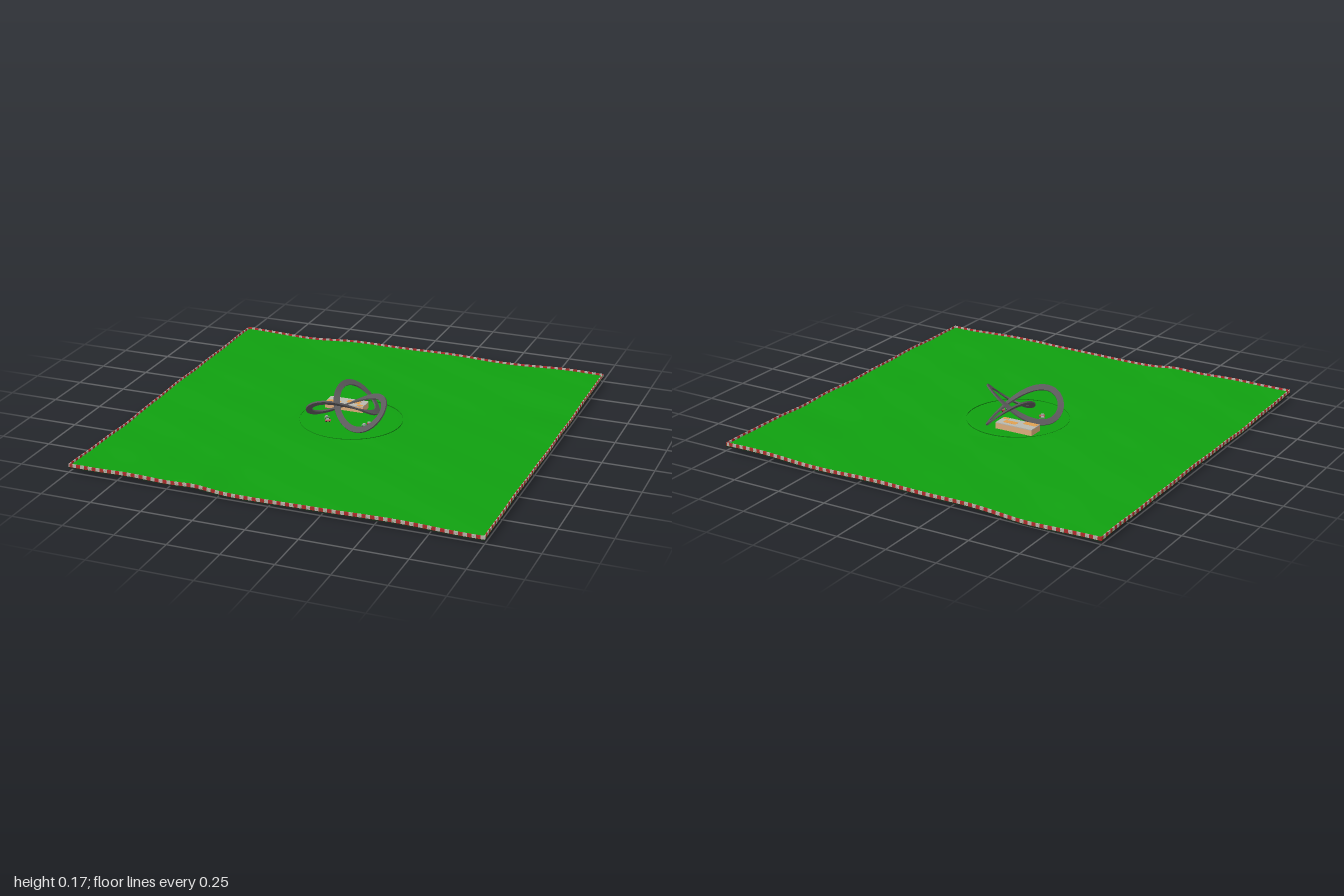
import * as THREE from 'three';
import { mergeGeometries } from 'three/addons/utils/BufferGeometryUtils.js';

const mat = (color, extra = {}) => new THREE.MeshStandardMaterial({ color, ...extra });

function add(parent, name, geometry, material, x = 0, y = 0, z = 0) {
  const mesh = new THREE.Mesh(geometry, material);
  mesh.name = name;
  mesh.position.set(x, y, z);
  parent.add(mesh);
  return mesh;
}

// Gently rolling ground with a level round clearing in the middle
function groundHeight(x, z) {
  const hills = 0.026
    + 0.004 * Math.sin(5.2 * x + 1.3 * z + 3.9)
    + 0.003 * Math.sin(4.1 * z - 2.3 * x + 0.6)
    + 0.002 * Math.sin(11 * x + 7 * z)
    + 0.0015 * Math.sin(17 * z - 9 * x + 1)
    + 0.009 * Math.exp(-((x + 0.36) ** 2) / 0.008 - ((z - 1) ** 2) / 0.05)
    + 0.007 * Math.exp(-((x + 0.7) ** 2) / 0.02 - ((z - 1) ** 2) / 0.3)
    - 0.009 * Math.exp(-((x + 0.6) ** 2) / 0.03 - ((z + 1) ** 2) / 0.2)
    - 0.009 * Math.exp(-((z + 0.45) ** 2) / 0.03 - ((x - 1) ** 2) / 0.2);
  const blend = THREE.MathUtils.smoothstep(Math.hypot(x, z), 0.23, 0.29);
  return THREE.MathUtils.lerp(0.026, hills, blend);
}

function makeGround() {
  const geo = new THREE.PlaneGeometry(2, 2, 120, 120).rotateX(-Math.PI / 2);
  const p = geo.attributes.position;
  for (let i = 0; i < p.count; i++) p.setY(i, groundHeight(p.getX(i), p.getZ(i)));
  geo.computeVertexNormals();
  return geo;
}

// Trefoil loop that rises and falls three times
class KnotCurve extends THREE.Curve {
  getPoint(u, target = new THREE.Vector3()) {
    const t = u * Math.PI * 2, s = 0.069;
    return target.set(
      s * (Math.sin(t) + 2 * Math.sin(2 * t)),
      0.096 + 0.058 * Math.sin(3 * t),
      s * (Math.cos(t) - 2 * Math.cos(2 * t)));
  }
}

// Flat band swept along the curve, its width lying in the plane of each bend
function makeBand(curve, width, thickness, steps = 240) {
  const pos = [], index = [];
  const corners = [[1, 1], [-1, 1], [-1, -1], [1, -1]];
  for (let i = 0; i <= steps; i++) {
    const u = i / steps, e = 0.003;
    const c = curve.getPoint(u);
    const a = curve.getPoint(u - e), b = curve.getPoint(u + e);
    const tangent = b.clone().sub(a).normalize();
    const normal = a.add(b).addScaledVector(c, -2);
    normal.addScaledVector(tangent, -normal.dot(tangent)).normalize();
    const binormal = tangent.clone().cross(normal);
    // each face has its own pair of vertices so the edges stay sharp
    for (let k = 0; k < 4; k++) {
      for (const [w, h] of [corners[k], corners[(k + 1) % 4]]) {
        const v = c.clone().addScaledVector(normal, w * width / 2).addScaledVector(binormal, h * thickness / 2);
        pos.push(v.x, v.y, v.z);
      }
      if (i < steps) {
        const q = i * 8 + k * 2;
        index.push(q, q + 1, q + 8, q + 1, q + 9, q + 8);
      }
    }
  }
  const geo = new THREE.BufferGeometry();
  geo.setAttribute('position', new THREE.Float32BufferAttribute(pos, 3));
  geo.setIndex(index);
  geo.computeVertexNormals();
  return geo;
}

// Red and white kerb blocks following the ground along all four borders
function makeKerb(parent) {
  const blocks = [[], []], n = 100, len = 2 / n;
  for (let side = 0; side < 4; side++) {
    for (let i = 0; i < n; i++) {
      const s = -1 + (i + 0.5) * len, edge = side % 2 ? 0.997 : -0.997;
      const alongX = side < 2;
      const at = (d) => (alongX ? groundHeight(s + d, edge) : groundHeight(edge, s + d));
      const box = new THREE.BoxGeometry(len, 0.016, 0.005);
      box.rotateZ(Math.atan2(at(len / 2) - at(-len / 2), len));
      if (!alongX) box.rotateY(-Math.PI / 2);
      box.translate(alongX ? s : edge, at(0) + 0.002, alongX ? edge : s);
      blocks[i % 2].push(box);
    }
  }
  add(parent, 'redKerbBlocks', mergeGeometries(blocks[0]), mat(0xb02a2a));
  add(parent, 'whiteKerbBlocks', mergeGeometries(blocks[1]), mat(0xb8b0a8));
  // dark footing under the kerb
  const footing = [];
  for (let side = 0; side < 4; side++) {
    for (let i = 0; i < n; i++) {
      const s = -1 + (i + 0.5) * len, edge = side % 2 ? 0.997 : -0.997;
      const [x, z] = side < 2 ? [s, edge] : [edge, s];
      const box = new THREE.BoxGeometry(side < 2 ? len : 0.006, 0.006, side < 2 ? 0.006 : len);
      footing.push(box.translate(x, groundHeight(x, z) - 0.009, z));
    }
  }
  add(parent, 'kerbFooting', mergeGeometries(footing), mat(0x1c2a1c));
}

// Low station building with a patchwork roof
function makeStation() {
  const g = new THREE.Group();
  g.name = 'station';
  g.position.set(-0.075, 0, -0.13);
  add(g, 'walls', new THREE.BoxGeometry(0.2, 0.038, 0.08), mat(0xdcae7c), 0, 0.035, 0);
  add(g, 'roof', new THREE.BoxGeometry(0.2, 0.004, 0.08), mat(0xb9b9b0), 0, 0.056, 0);
  for (const [x, z, w, d] of [[-0.06, 0.022, 0.07, 0.032], [0.035, -0.006, 0.07, 0.03], [0.08, 0.027, 0.03, 0.02]]) {
    add(g, 'roofPanel', new THREE.BoxGeometry(w, 0.001, d), mat(0xe0a050), x, 0.0583, z);
  }
  return g;
}

// Small car with a cabin
function makeCar(color, x, z, turn) {
  const g = new THREE.Group();
  g.name = 'car';
  add(g, 'carBody', new THREE.BoxGeometry(0.026, 0.008, 0.013), mat(color), 0, 0.007, 0);
  add(g, 'carCabin', new THREE.BoxGeometry(0.013, 0.006, 0.011), mat(0xaaaaaa), -0.002, 0.014, 0);
  const wheel = new THREE.CylinderGeometry(0.003, 0.003, 0.015, 10).rotateX(Math.PI / 2);
  for (const wx of [-0.008, 0.008]) add(g, 'carWheels', wheel, mat(0x222222), wx, 0.003, 0);
  g.position.set(x, 0.026, z);
  g.rotation.y = turn;
  return g;
}

export function createModel() {
  const model = new THREE.Group();
  model.name = 'trackPark';
  add(model, 'ground', makeGround(), mat(0x10a010, { side: THREE.DoubleSide }));
  makeKerb(model);

  // rim around the clearing
  add(model, 'clearingRim', new THREE.CylinderGeometry(0.252, 0.252, 0.007, 72, 1, true),
    mat(0x0d780d, { side: THREE.DoubleSide }), 0, 0.0255, 0);

  const knot = new KnotCurve();
  add(model, 'track', makeBand(knot, 0.03, 0.008), mat(0x5c5a5c, { side: THREE.DoubleSide }));

  model.add(makeStation());
  model.add(makeCar(0x4caa4c, -0.112, 0.04, 0.8));
  model.add(makeCar(0xc86464, -0.094, 0.07, 0.3));
  model.add(makeCar(0xc83c3c, 0.11, 0.04, -0.7));
  model.add(makeCar(0x6cae7c, 0.094, 0.066, -0.3));
  return model;
}
